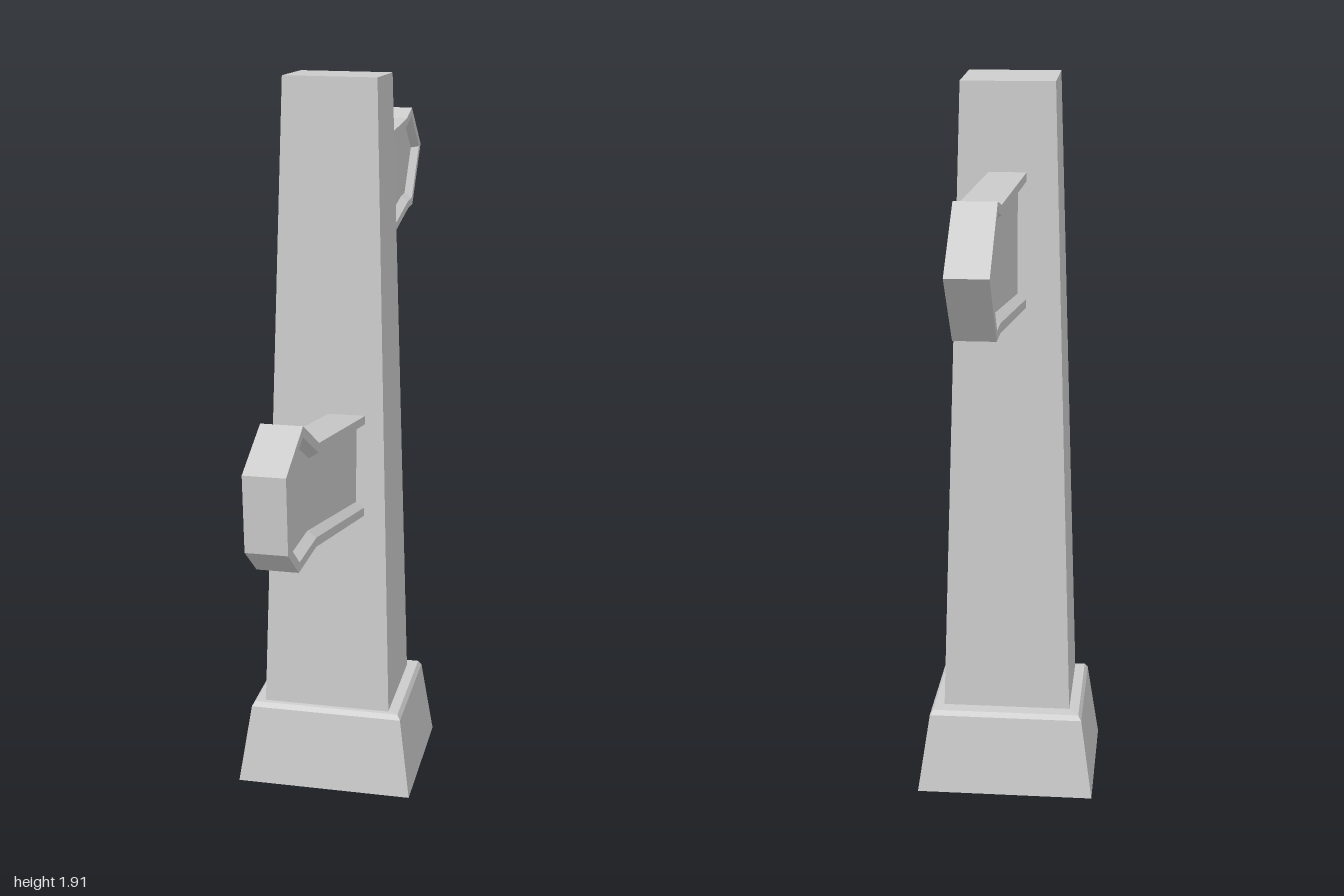
import * as THREE from 'three';

const material = new THREE.MeshStandardMaterial({ color: 0xcccccc, flatShading: true, side: THREE.DoubleSide });

// Skins counter-clockwise XY rings stacked along Z: rings = [{ pts: [[x, y]...], z }]
function loft(rings, capStart, capEnd) {
  const pos = [];
  const put = (ring, i) => {
    const p = ring.pts[i % ring.pts.length];
    pos.push(p[0], p[1], p[2] ?? ring.z);
  };
  for (let r = 0; r < rings.length - 1; r++) {
    const a = rings[r], b = rings[r + 1];
    for (let i = 0; i < a.pts.length; i++) {
      put(a, i); put(a, i + 1); put(b, i + 1);
      put(a, i); put(b, i + 1); put(b, i);
    }
  }
  const cap = (ring, flip) => {
    const flat = ring.pts.map(p => new THREE.Vector2(p[0], p[1]));
    for (const [i, j, k] of THREE.ShapeUtils.triangulateShape(flat, [])) {
      for (const n of flip ? [i, k, j] : [i, j, k]) put(ring, n);
    }
  };
  if (capStart) cap(rings[0], true);
  if (capEnd) cap(rings[rings.length - 1], false);
  const g = new THREE.BufferGeometry();
  g.setAttribute('position', new THREE.Float32BufferAttribute(pos, 3));
  return g;
}

function part(name, geometry) {
  geometry.computeVertexNormals();
  const mesh = new THREE.Mesh(geometry, material);
  mesh.name = name;
  return mesh;
}

// Rectangular cross-section at height z
const rect = (w, d, z, cy = 0) => ({
  z, pts: [[-w / 2, cy - d / 2], [w / 2, cy - d / 2], [w / 2, cy + d / 2], [-w / 2, cy + d / 2]],
});

// Moves every edge of a counter-clockwise outline inward by t
function inset(pts, t) {
  const n = pts.length;
  const normal = i => {
    const a = pts[i % n], b = pts[(i + 1) % n];
    const dx = b[0] - a[0], dy = b[1] - a[1], l = Math.hypot(dx, dy);
    return [-dy / l, dx / l];
  };
  return pts.map((p, i) => {
    const m = normal(i + n - 1), k = normal(i);
    const s = t / (1 + m[0] * k[0] + m[1] * k[1]);
    return [p[0] + (m[0] + k[0]) * s, p[1] + (m[1] + k[1]) * s];
  });
}

// Pointer board with a raised, bevelled rim on both faces; outline is [-z, y]
function signBoard(name, outline, x) {
  const profile = [[0.036, -0.026], [0.022, -0.048], [0, -0.048], [0, 0.048], [0.022, 0.048], [0.036, 0.026]];
  const rings = profile.map(([t, z]) => ({ pts: inset(outline, t), z }));
  const mesh = part(name, loft(rings, true, true).rotateY(Math.PI / 2));
  mesh.position.x = x;
  return mesh;
}

export function createModel() {
  const group = new THREE.Group();
  group.name = 'signpost';
  const body = new THREE.Group();
  body.name = 'turnedSignpost';
  body.rotation.y = 0.083;
  group.add(body);

  // Flared hollow foot with a narrow ledge around the post
  body.add(part('base', loft([
    rect(0.475, 0.415, 0), rect(0.412, 0.358, 0.215), rect(0.395, 0.342, 0.228), rect(0.33, 0.28, 0.23, -0.01),
  ], false, false).rotateX(-Math.PI / 2)));

  // Tapered post, its top leaning slightly to the back
  const top = rect(0.24, 0.208, 1.91, -0.008);
  top.pts.forEach((p, i) => p.push(i < 2 ? 1.915 : 1.905));
  body.add(part('post', loft([
    rect(0.342, 0.296, 0.222, -0.012), top,
  ], false, true).rotateX(-Math.PI / 2)));

  // Upper board points back, lower board points forward
  body.add(signBoard('upperSign', [
    [0.03, 1.325], [0.78, 1.425], [0.86, 1.425], [1, 1.588], [0.83, 1.72], [0.745, 1.7], [0.03, 1.678],
  ], 0));
  body.add(signBoard('lowerSign', [
    [-0.03, 0.757], [-0.03, 1.036], [-0.68, 1.16], [-0.84, 1.25], [-1, 1.185],
    [-0.988, 1.005], [-0.89, 0.927], [-0.715, 0.92],
  ], 0.05));

  return group;
}
